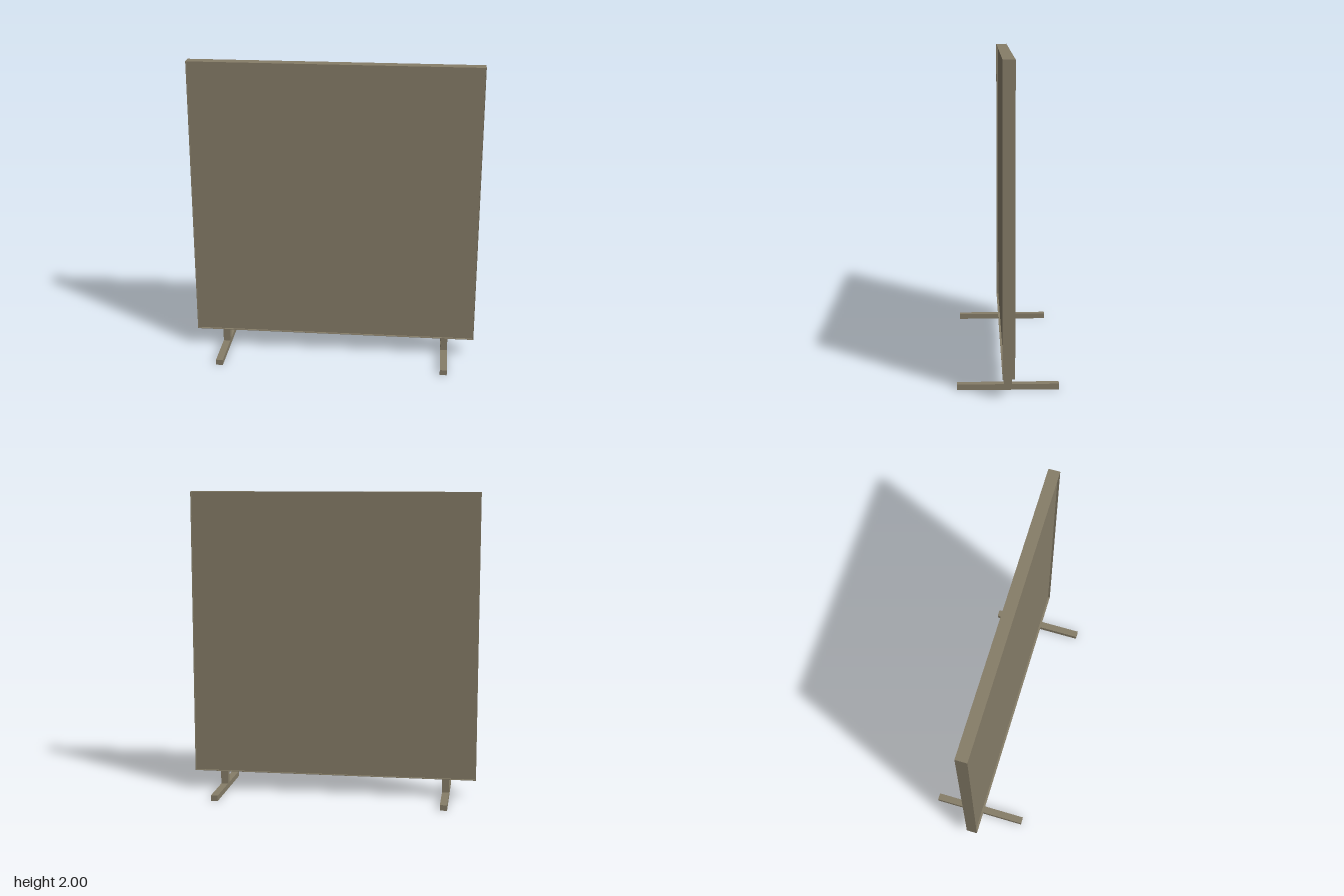
import * as THREE from 'three';

const WIDTH = 1.886, BOTTOM = 0.127, TOP = 2, DEPTH = 0.074;
const RIM = 0.004, RECESS = 0.013;

export function createModel() {
  const group = new THREE.Group();
  group.name = 'partitionScreen';
  const taupe = new THREE.MeshStandardMaterial({ color: 0x867d68 });
  taupe.name = 'taupe';

  const add = (name, geometry, x, y, z) => {
    const mesh = new THREE.Mesh(geometry, taupe);
    mesh.name = name;
    mesh.position.set(x, y, z);
    group.add(mesh);
  };

  // Closed rectangle used for the frame outline and its opening
  const rectangle = (path, w, h) => {
    path.moveTo(-w / 2, -h / 2);
    path.lineTo(w / 2, -h / 2);
    path.lineTo(w / 2, h / 2);
    path.lineTo(-w / 2, h / 2);
    path.closePath();
    return path;
  };

  // Thin frame around the panel
  const height = TOP - BOTTOM, midY = (TOP + BOTTOM) / 2;
  const outline = rectangle(new THREE.Shape(), WIDTH, height);
  outline.holes.push(rectangle(new THREE.Path(), WIDTH - 2 * RIM, height - 2 * RIM));
  const frame = new THREE.ExtrudeGeometry(outline, { depth: DEPTH, bevelEnabled: false });
  add('frame', frame, 0, midY, -DEPTH / 2);

  // Panel, slightly recessed on both faces
  add('panel', new THREE.BoxGeometry(WIDTH - 2 * RIM, height - 2 * RIM, DEPTH - 2 * RECESS), 0, midY, 0);

  // Two feet, each a floor bar with a short post
  for (const [side, s] of [['left', 1], ['right', -1]]) {
    add(side + 'FootBar', new THREE.BoxGeometry(0.046, 0.036, 0.62), s * 0.746, 0.018, 0);
    add(side + 'Post', new THREE.BoxGeometry(0.046, BOTTOM - 0.036, 0.05), s * 0.746, (BOTTOM + 0.036) / 2, 0);
  }
  return group;
}
